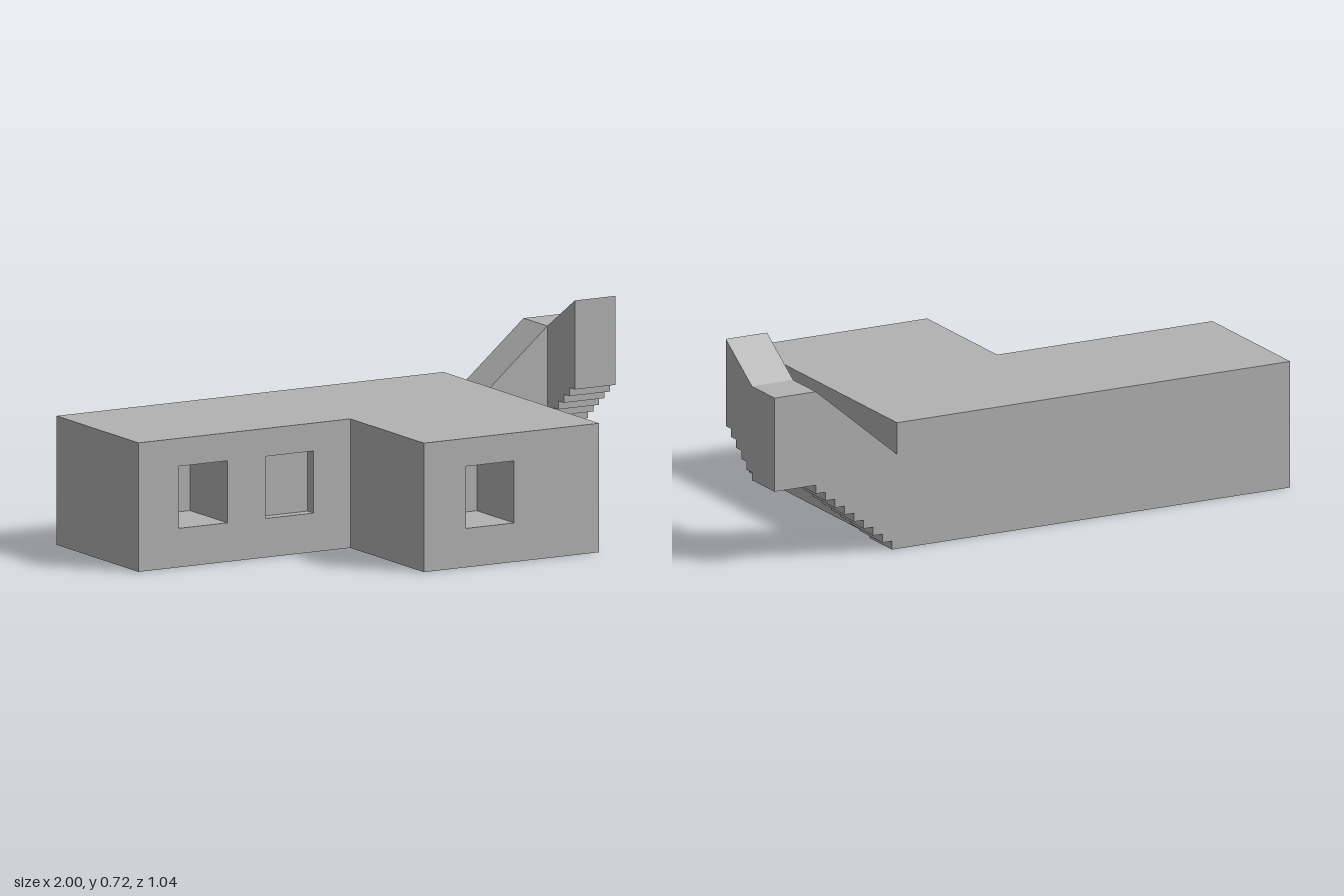
import * as THREE from 'three';

const concrete = new THREE.MeshStandardMaterial({ color: 0xb2b2b2 });
concrete.name = 'concrete grey';

// Closed outline from [x, y] points, with optional rectangular holes
function outline(points, holes = []) {
  const shape = new THREE.Shape(points.map(([x, y]) => new THREE.Vector2(x, y)));
  for (const [x0, x1, y0, y1] of holes) {
    shape.holes.push(new THREE.Path([[x0, y0], [x0, y1], [x1, y1], [x1, y0]]
      .map(([x, y]) => new THREE.Vector2(x, y))));
  }
  return shape;
}

const extrude = (shape, depth) => new THREE.ExtrudeGeometry(shape, { depth, bevelEnabled: false });

// Stepped underside climbing from (a, y) to b; each riser comes before its tread
function steps(a, b, y, rise, count, firstTread = null) {
  const pts = [];
  let p = a;
  const tread = firstTread === null ? (b - a) / count : (b - a - firstTread) / (count - 1);
  if (firstTread !== null) { pts.push([a, y]); p = a + firstTread; pts.push([p, y]); }
  for (let i = 0; i < count; i++) {
    y += rise;
    pts.push([p, y]);
    if (firstTread !== null && i === count - 1) break;
    p += tread;
    pts.push([p, y]);
  }
  return pts;
}

export function createModel() {
  const model = new THREE.Group();
  model.name = 'building';
  const add = (name, geometry) => {
    const mesh = new THREE.Mesh(geometry, concrete);
    mesh.name = name;
    model.add(mesh);
    return mesh;
  };

  const H = 0.447, DEPTH = 0.25, BACK = -0.525;
  const WEST = -1, INNER = -0.165, EAST = 0.525;
  const MAIN_FRONT = 0.025, WING_FRONT = 0.52;
  const SILL = 0.135, HEAD = 0.35;

  // L-shaped body behind the window walls, drawn in plan as (x, -z)
  const plan = outline([
    [WEST, -(MAIN_FRONT - DEPTH)], [INNER, -(MAIN_FRONT - DEPTH)],
    [INNER, -(WING_FRONT - DEPTH)], [EAST, -(WING_FRONT - DEPTH)],
    [EAST, -BACK], [WEST, -BACK],
  ]);
  add('buildingBody', extrude(plan, H).rotateX(-Math.PI / 2));

  // Thick front walls with deep window openings
  const wall = (name, x0, x1, front, windows) => {
    const shape = outline([[x0, 0], [x1, 0], [x1, H], [x0, H]],
      windows.map(([a, b]) => [a, b, SILL, HEAD]));
    add(name, extrude(shape, DEPTH).translate(0, 0, front - DEPTH));
  };
  wall('mainFrontWall', WEST, INNER, MAIN_FRONT, [[-0.84, -0.65], [-0.5, -0.31]]);
  wall('wingFrontWall', INNER, EAST, WING_FRONT, [[0, 0.19]]);

  // Shallow filled window beside the wing
  add('windowPanel', new THREE.BoxGeometry(0.19, HEAD - SILL, 0.21))
    .position.set(-0.405, (HEAD + SILL) / 2, MAIN_FRONT - 0.145);

  // Lower stair flight and landing, profile in (x, y)
  const LAND = 0.84, Z = -0.365;
  const lower = outline([
    ...steps(EAST, LAND, 0, 0.03, 9, 0.02),
    [1, 0.27], [1, 0.602], [LAND, 0.602], [EAST, 0.335],
  ]);
  add('lowerStairFlight', extrude(lower, Z - BACK).translate(0, 0, BACK));

  // Upper stair flight turning to the front, profile in (z, y)
  const upper = outline([
    [Z, 0.267], ...steps(Z, -0.18, 0.267, 0.0293, 5),
    [-0.18, 0.722], [Z, 0.602],
  ]);
  add('upperStairFlight', extrude(upper, 1 - LAND).rotateY(-Math.PI / 2).translate(1, 0, 0));

  return model;
}
